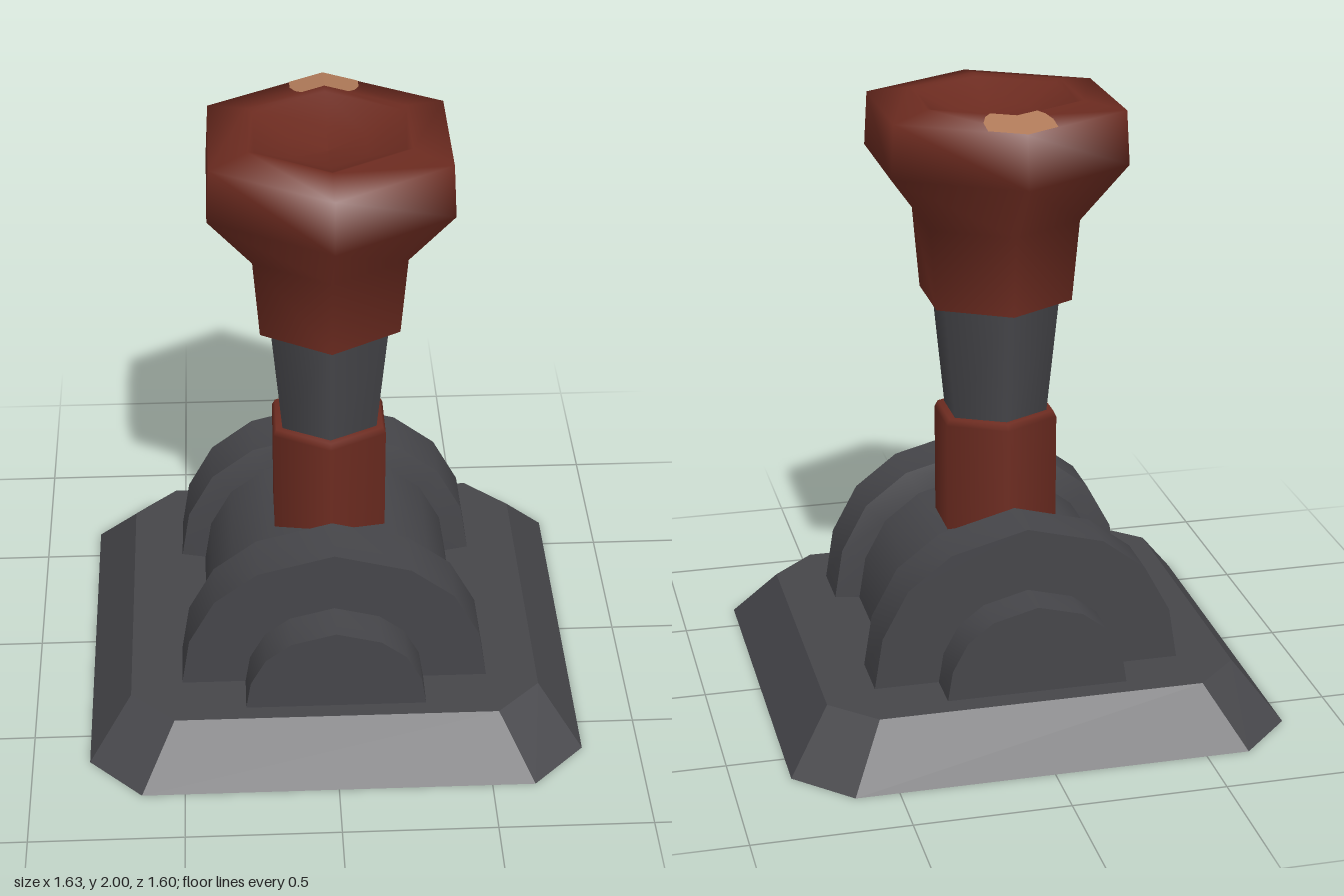
import * as THREE from 'three';
import { toCreasedNormals } from 'three/addons/utils/BufferGeometryUtils.js';

const mat = (name, color, side = THREE.FrontSide) => {
  const m = new THREE.MeshStandardMaterial({ color, side });
  m.name = name;
  return m;
};

// Extrudes an outline from z0 to z1, scaling the outline at z0.
function prism(points, z0, z1, startScale = 1) {
  const shape = new THREE.Shape(points.map(([x, y]) => new THREE.Vector2(x, y)));
  const depth = z1 - z0;
  const geo = new THREE.ExtrudeGeometry(shape, { depth, bevelEnabled: false });
  const p = geo.attributes.position;
  for (let i = 0; i < p.count; i++) {
    const s = p.getZ(i) < depth / 2 ? startScale : 1;
    p.setXY(i, p.getX(i) * s, p.getY(i) * s);
  }
  geo.translate(0, 0, z0);
  return toCreasedNormals(geo, 0.55);
}

// Half-disc outline standing on its flat side.
function archOutline(r) {
  const half = [[1, 0], [0.945, 0.34], [0.775, 0.655], [0.495, 0.87]];
  return [...half, [0, 1], ...half.map(([x, y]) => [-x, y]).reverse()]
    .map(([x, y]) => [x * r, y * r]);
}

// Flat-shaded surface from a list of corner triples.
function facets(corners) {
  const geo = new THREE.BufferGeometry();
  geo.setAttribute('position', new THREE.Float32BufferAttribute(corners.flat(), 3));
  geo.computeVertexNormals();
  return geo;
}

// Sloped walls and a flat top, hollow and open underneath.
function baseShell(height) {
  const ring = [
    [0.813, 0.63], [0.813, -0.63], [0.64, -0.8], [-0.64, -0.8],
    [-0.813, -0.63], [-0.813, 0.63], [-0.64, 0.8], [0.64, 0.8],
  ];
  const corners = [];
  ring.forEach(([x, z], i) => {
    const [x2, z2] = ring[(i + 1) % ring.length];
    const a = [x, 0, z], b = [x2, 0, z2];
    const c = [x2 * 0.828, height, z2 * 0.805], d = [x * 0.828, height, z * 0.805];
    corners.push(a, b, c, a, c, d, d, c, [0, height, 0]);
  });
  return facets(corners);
}

function lathe(profile) {
  return new THREE.LatheGeometry(profile.map(([r, y]) => new THREE.Vector2(r, y)), 6);
}

export function createModel() {
  const grey = mat('dark grey metal', 0x46464a, THREE.DoubleSide);
  const red = mat('rust red paint', 0x6c2b20);
  const tan = mat('worn tan', 0xb27c5a);
  const model = new THREE.Group();
  const add = (parent, name, geo, material) => {
    const mesh = new THREE.Mesh(geo, material);
    mesh.name = name;
    parent.add(mesh);
    return mesh;
  };

  // Hollow base with cut corners
  add(model, 'baseShell', baseShell(0.18), grey);

  // Pivot housing: a barrel between two stepped cheeks
  const pivot = new THREE.Group();
  pivot.name = 'pivotHousing';
  pivot.position.set(0, 0.18, 0.008);
  model.add(pivot);
  add(pivot, 'barrel', prism(archOutline(0.424), -0.25, 0.25), grey);
  for (const side of ['front', 'back']) {
    const cheek = new THREE.Group();
    cheek.name = side + 'Cheek';
    if (side === 'back') cheek.rotation.y = Math.PI;
    pivot.add(cheek);
    const disc = archOutline(0.505);
    add(cheek, side + 'CheekBevel', prism(disc, 0.245, 0.264, 0.84), grey);
    add(cheek, side + 'CheekDisc', prism(disc, 0.264, 0.445), grey);
    add(cheek, side + 'AxleCap', prism(archOutline(0.295), 0.445, 0.582), grey);
  }

  // Six-sided lever
  const lever = new THREE.Group();
  lever.name = 'lever';
  lever.position.z = 0.01;
  model.add(lever);

  const collar = lathe([[0.19, 0.18], [0.19, 0.922], [0.18, 0.943], [0.13, 0.943]]);
  collar.scale(1.12, 1, 1);
  add(lever, 'collar', collar, red);

  // Shaft, widening upwards
  const shaft = new THREE.CylinderGeometry(0.197, 0.158, 0.42, 6);
  shaft.scale(1.12, 1, 1);
  shaft.translate(0, 1.14, 0);
  add(lever, 'shaft', shaft, grey);

  // Flared grip with a dished top
  add(lever, 'grip', lathe([
    [0.258, 1.335], [0.282, 1.605], [0.441, 1.8], [0.43, 1.975], [0.29, 1.998],
    [0.268, 1.99], [0.14, 1.935], [0, 1.92],
  ]), red);
  const underside = new THREE.CircleGeometry(0.258, 6, Math.PI / 2);
  underside.rotateX(Math.PI / 2);
  underside.translate(0, 1.335, 0);
  add(lever, 'gripUnderside', underside, red);

  // Worn patch on the rear corner of the rim, one facet mirrored to the other
  const wear = [[0, -0.43], [0.11, -0.366], [0.11, -0.305], [0.095, -0.265], [0.075, -0.245], [0, -0.288]];
  const onRim = ([x, z]) => {
    const r = Math.abs(x) * 0.577 + Math.abs(z);
    return [x, 2 - (r - 0.29) / (0.43 - 0.29) * 0.023, z];
  };
  const patch = [];
  for (const s of [1, -1]) {
    const rim = wear.map(([x, z]) => onRim([x * s, z]));
    for (let i = 1; i < rim.length - 1; i++) {
      patch.push(rim[0], ...(s > 0 ? [rim[i + 1], rim[i]] : [rim[i], rim[i + 1]]));
    }
  }
  add(lever, 'wornPatch', facets(patch), tan);

  return model;
}
